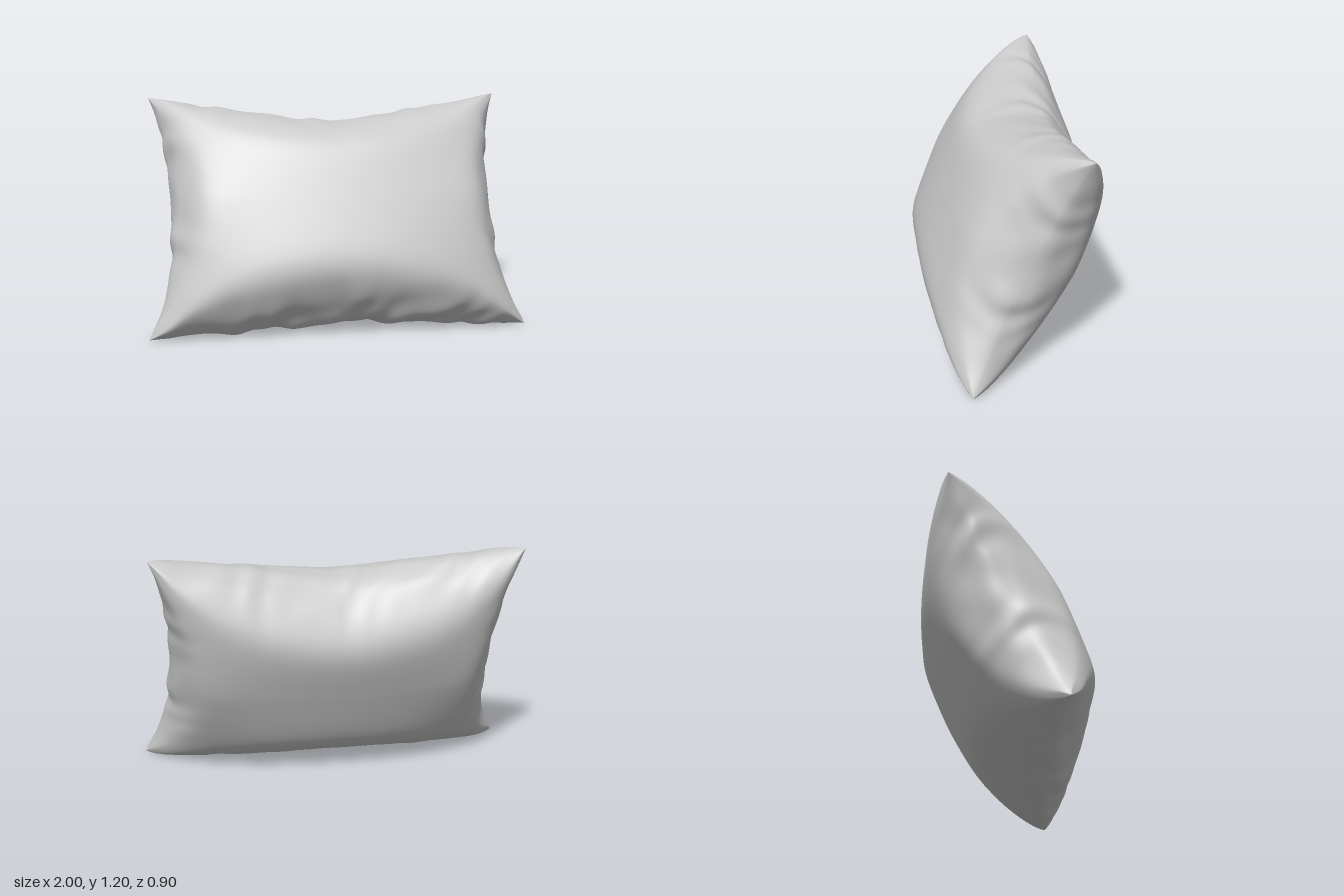
import * as THREE from 'three';
import { mergeVertices } from 'three/addons/utils/BufferGeometryUtils.js';

const COLS = 150, ROWS = 120;
const HALF_THICKNESS = 0.365;
const TILT = -0.445; // leaning back

// Soft irregular folds: k runs along the seam, w across the thickness
function folds(k, w, seed) {
  const bend = k + 0.1 * Math.sin(9 * w + seed) + 0.06 * Math.sin(11 * k + seed * 2);
  return 0.4 * Math.sin(14 * bend + seed)
    + 0.3 * Math.sin(27 * bend - 22 * k * w + seed * 1.7)
    + 0.4 * Math.sin(26 * w + 8 * k + seed * 3.1) * Math.sin(14 * k - 9 * w + seed);
}

// Smooth minimum, leaving softly rounded ridges where two surfaces meet
function softMin(...values) {
  if (Math.min(...values) <= 0) return 0;
  return values.reduce((sum, v) => sum + v ** -8, 0) ** (-1 / 8);
}

// Height of the skin over the seam plane: a broad curved face that sinks to the
// corners, cut off by the gathered panels along the long and the short edges
function fullness(as, at, longFullness) {
  const face = 1 - 0.28 * as ** 2 - 0.72 * as ** 3 * at ** 1.6;
  const longEdge = (longFullness - 0.45 * as ** 2) * (1 - at) ** 0.6;
  const shortEdge = (2.3 - 0.6 * at ** 2) * (1 - as) ** 0.6;
  return softMin(face, longEdge, shortEdge);
}

// Point of the pillow skin; s, t in -1..1 across and up, side = 1 front, -1 back
function skinPoint(s, t, side) {
  const as = Math.abs(s), at = Math.abs(t);
  // The lower front sags fullest; both values agree on the middle line
  const sag = side > 0 && t < 0 ? 1.88 : 1.68;
  const w = side * HALF_THICKNESS * fullness(as, at, sag);

  // Seam outline: pinched in at the middle of each edge, pointed at the corners
  const halfWidth = 0.87 + (t > 0 ? 0.095 : 0.13) * at ** 2.8;
  const halfHeight = t > 0 ? 0.505 + 0.155 * as ** 1.25 : 0.605 + 0.055 * as;
  let x = s * halfWidth, y = t * halfHeight;

  // Creases confined to the gathered edge panels
  const longMask = at ** 5 * (1 - as ** 5), shortMask = as ** 8 * (1 - at ** 5);
  y += Math.sign(t) * longMask * (t > 0 ? 0.012 : 0.018) * folds(x, w, t > 0 ? 0.6 : 2.3);
  x += Math.sign(s) * shortMask * 0.012 * folds(y, w, s > 0 ? 1.4 : 4.2);
  return [x, y, w];
}

// One panel of the pillow, with rows packed closer towards the seam
function addPanel(side, positions, indices) {
  const start = positions.length / 3;
  for (let j = 0; j <= ROWS; j++) {
    const t = Math.sin((j / ROWS - 0.5) * Math.PI);
    for (let i = 0; i <= COLS; i++) {
      const s = Math.sin((i / COLS - 0.5) * Math.PI);
      positions.push(...skinPoint(s, t, side));
      if (i === COLS || j === ROWS) continue;
      const a = start + j * (COLS + 1) + i, b = a + 1;
      const d = a + COLS + 1, c = d + 1;
      if (side > 0) indices.push(a, b, c, a, c, d);
      else indices.push(a, c, b, a, d, c);
    }
  }
}

export function createModel() {
  const positions = [], indices = [];
  addPanel(1, positions, indices);
  addPanel(-1, positions, indices);

  let geometry = new THREE.BufferGeometry();
  geometry.setAttribute('position', new THREE.Float32BufferAttribute(positions, 3));
  geometry.setIndex(indices);
  geometry = mergeVertices(geometry, 1e-5); // sew both panels along the seam
  geometry.rotateX(TILT);

  // Rest on the ground, centred front to back
  geometry.computeBoundingBox();
  const { min, max } = geometry.boundingBox;
  geometry.translate(0, -min.y, -(min.z + max.z) / 2);
  geometry.computeVertexNormals();

  const pillow = new THREE.Mesh(geometry, new THREE.MeshStandardMaterial({ color: 0xcccccc }));
  pillow.name = 'pillow';
  const group = new THREE.Group();
  group.name = 'leaningPillow';
  group.add(pillow);
  return group;
}
